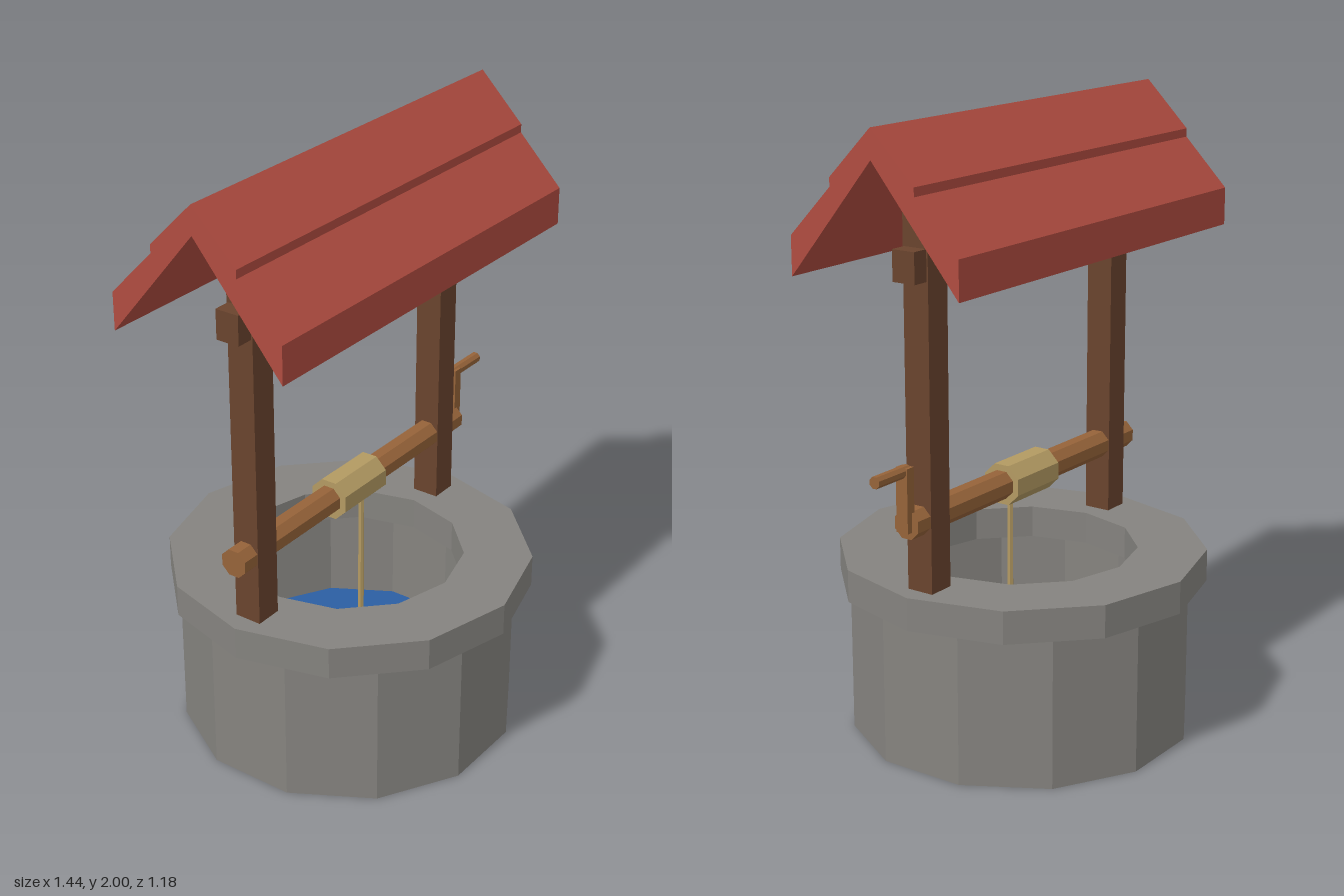
import * as THREE from 'three';

const mat = (name, color) => {
  const m = new THREE.MeshStandardMaterial({ color });
  m.name = name;
  m.flatShading = true;
  return m;
};

export function createModel() {
  const stone = mat('stone grey', 0x85837f);
  const darkWood = mat('dark wood', 0x6a442e);
  const lightWood = mat('light wood', 0x966339);
  const hemp = mat('rope tan', 0xb39a62);
  const tile = mat('roof red', 0xb04c40);
  const blue = mat('water blue', 0x2b5ea3);

  const well = new THREE.Group();
  well.name = 'well';
  const add = (name, geometry, material, x = 0, y = 0, z = 0) => {
    const mesh = new THREE.Mesh(geometry, material);
    mesh.name = name;
    mesh.position.set(x - 0.008, y, z);
    well.add(mesh);
    return mesh;
  };

  // Twelve-sided ring standing on its base
  const polygon = (r, turn) => Array.from({ length: 12 }, (_, i) => {
    const a = turn + (i * Math.PI) / 6;
    return new THREE.Vector2(r * Math.cos(a), r * Math.sin(a));
  });
  const ring = (outer, inner, height, turn) => {
    const shape = new THREE.Shape(polygon(outer, turn));
    shape.holes.push(new THREE.Path(polygon(inner, turn)));
    return new THREE.ExtrudeGeometry(shape, { depth: height, bevelEnabled: false }).rotateX(-Math.PI / 2);
  };
  // Octagonal bar along x, flat side up
  const bar = (r, length) =>
    new THREE.CylinderGeometry(r, r, length, 8).rotateY(Math.PI / 8).rotateZ(Math.PI / 2);

  // Stone shaft, rim and water
  add('wellWall', ring(0.55, 0.42, 0.49, Math.PI / 12), stone);
  add('wellRim', ring(0.59, 0.37, 0.105, 0), stone, 0, 0.487);
  add('water', new THREE.CylinderGeometry(0.42, 0.42, 0.17, 12).rotateY(Math.PI / 12), blue, 0, 0.085);

  // Posts and the beam that ties them under the roof
  for (const side of [-1, 1]) {
    add(side > 0 ? 'leftPost' : 'rightPost', new THREE.BoxGeometry(0.09, 1.32, 0.09), darkWood, side * 0.48, 1.24);
  }
  add('crossBeam', new THREE.BoxGeometry(1.16, 0.095, 0.08), darkWood, 0, 1.59);

  // Roof: stepped slopes extruded along x
  const half = [[0.15, 1.85], [0.15, 1.823], [0.3, 1.67], [0.3, 1.55]];
  const profile = [
    [0, 2], ...half, [0, 1.91],
    ...half.slice().reverse().map(([z, y]) => [-z, y]),
  ].map(([z, y]) => new THREE.Vector2(z, y));
  const roof = new THREE.ExtrudeGeometry(new THREE.Shape(profile), { depth: 1.43, bevelEnabled: false });
  add('roof', roof.translate(0, 0, -0.715).rotateY(Math.PI / 2), tile);

  // Windlass, coiled rope and hanging rope
  add('windlass', bar(0.047, 1.17), lightWood, 0, 0.82);
  add('ropeCoil', bar(0.069, 0.22), hemp, 0, 0.82);
  add('hangingRope', new THREE.CylinderGeometry(0.01, 0.01, 0.66, 6), hemp, 0, 0.48, 0.046);

  // Crank
  add('crankArm', new THREE.BoxGeometry(0.032, 0.2, 0.042), lightWood, 0.589, 0.9);
  add('crankHandle', bar(0.019, 0.15), lightWood, 0.653, 0.987);

  return well;
}
